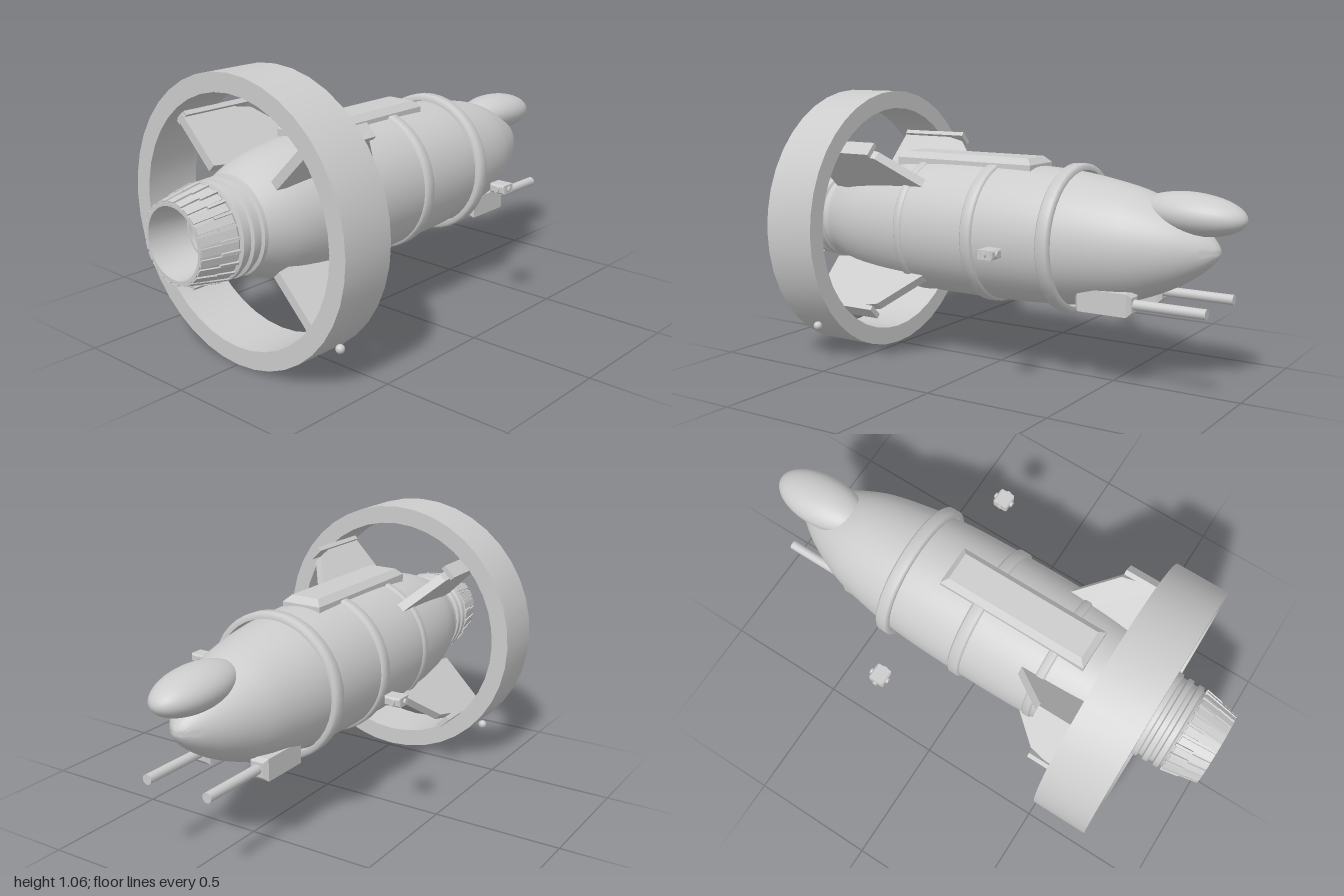
import * as THREE from 'three';
import { toCreasedNormals, mergeGeometries } from 'three/addons/utils/BufferGeometryUtils.js';

const AXIS = 0.535; // height of the ship's long axis

export function createModel() {
  const root = new THREE.Group();
  root.name = 'ringShip';
  const grey = new THREE.MeshStandardMaterial({ color: 0xcccccc });
  grey.name = 'hullGrey';

  function add(name, geometry, x = 0, y = AXIS, z = 0, parent = root) {
    const mesh = new THREE.Mesh(geometry, grey);
    mesh.name = name;
    mesh.position.set(x, y, z);
    parent.add(mesh);
    return mesh;
  }

  // Revolves [radius, z] points around the long axis
  function spin(points, segments = 32, crease = 0.5) {
    const g = new THREE.LatheGeometry(points.map(([r, z]) => new THREE.Vector2(r, z)), segments);
    g.rotateX(Math.PI / 2);
    return toCreasedNormals(g, crease);
  }

  // Plate from an outline, centred on its thickness
  function plate(points, depth, bevel = 0) {
    const shape = new THREE.Shape(points.map(([a, b]) => new THREE.Vector2(a, b)));
    const g = new THREE.ExtrudeGeometry(shape, {
      depth: depth - 2 * bevel, bevelEnabled: bevel > 0, bevelSize: bevel,
      bevelThickness: bevel, bevelOffset: -bevel, bevelSegments: 1,
    });
    return g.translate(0, 0, -depth / 2 + bevel);
  }
  const rect = (w, h) => [[-w / 2, -h / 2], [w / 2, -h / 2], [w / 2, h / 2], [-w / 2, h / 2]];

  // Hull, from nose to tail
  const hullCurve = new THREE.SplineCurve([
    [0, -0.91], [0.03, -0.895], [0.075, -0.85], [0.13, -0.77], [0.175, -0.68], [0.208, -0.59], [0.235, -0.46],
    [0.252, -0.34], [0.262, -0.2], [0.267, 0], [0.267, 0.2], [0.262, 0.32],
    [0.25, 0.47], [0.225, 0.62], [0.18, 0.74],
  ].map(([r, z]) => new THREE.Vector2(r, z)));
  const hull = hullCurve.getPoints(48).map((p) => [Math.max(p.x, 0), p.y]);
  add('hull', spin(hull, 40, 0.7));

  // Hoops around the hull
  for (const [z, inner, outer, half] of [[-0.34, 0.258, 0.282, 0.027], [-0.01, 0.255, 0.278, 0.026], [0.315, 0.255, 0.269, 0.02]]) {
    const c = 0.008;
    add('hullHoop', spin([
      [inner, z - half], [outer - c, z - half], [outer, z - half + c], [outer, z + half - c],
      [outer - c, z + half], [inner, z + half], [inner, z - half],
    ], 40, 0.9));
  }

  // Large tail ring
  add('tailRing', spin([[0.46, 0.52], [0.53, 0.52], [0.53, 0.74], [0.46, 0.74], [0.46, 0.52]], 40));

  // Four diagonal fins holding the ring
  const finOutline = [[0.22, 0.245], [0.38, 0.42], [0.52, 0.455], [0.54, 0.465], [0.69, 0.465], [0.69, 0.225], [0.5, 0.2], [0.3, 0.22]];
  for (let i = 0; i < 4; i++) {
    const fin = new THREE.Group();
    fin.name = 'fin';
    fin.position.y = AXIS;
    fin.rotation.z = Math.PI / 4 + i * Math.PI / 2;
    // outline is (z, radius): turn it so that radius runs along +x
    const blade = plate(finOutline.map(([z, r]) => [r, -z]), 0.036).rotateX(-Math.PI / 2);
    add('finBlade', blade, 0, 0, 0, fin);
    add('finFoot', new THREE.BoxGeometry(0.02, 0.06, 0.3), 0.449, 0, 0.535, fin);
    root.add(fin);
  }

  // Engine collar with ribs, open nozzle and inner cone
  add('engineCollar', spin([
    [0.1, 0.7], [0.18, 0.71], [0.18, 0.755], [0.168, 0.76], [0.168, 0.775], [0.178, 0.78], [0.178, 0.8],
    [0.166, 0.805], [0.166, 0.82], [0.176, 0.825], [0.176, 0.845], [0.164, 0.85], [0.1, 0.85],
  ], 40));
  add('nozzle', spin([
    [0.155, 0.84], [0.167, 0.86], [0.141, 1], [0.128, 1], [0.105, 0.82],
  ], 40));
  add('engineCone', spin([[0.112, 0.82], [0.1, 0.825], [0, 0.89]], 40));

  // Overlapping petals around the nozzle, with a short cleat between each pair
  const petals = [];
  const cleats = [];
  const count = 24;
  const slope = Math.atan2(0.026, 0.14);
  for (let i = 0; i < count; i++) {
    const angle = (i / count) * Math.PI * 2;
    petals.push(new THREE.BoxGeometry(0.028, 0.012, 0.138).rotateX(slope).translate(0, 0.153, 0.931).rotateZ(angle));
    cleats.push(new THREE.BoxGeometry(0.01, 0.018, 0.07).rotateX(slope).translate(0, 0.162, 0.892)
      .rotateZ(angle + Math.PI / count));
  }
  add('nozzlePetals', mergeGeometries(petals));
  add('nozzleCleats', mergeGeometries(cleats));

  // Cockpit bubble on the nose
  const canopy = new THREE.SphereGeometry(1, 32, 20).rotateX(Math.PI / 2).scale(0.106, 0.077, 0.2);
  add('canopy', canopy, 0, 0.665, -0.8).rotation.x = -0.06;

  // Bevelled spine along the back
  const spine = plate(rect(0.165, 0.62), 0.09, 0.024).rotateX(-Math.PI / 2);
  add('spine', spine, 0, 0.785, 0.13);

  for (const side of [-1, 1]) {
    // Belly gun
    const gun = new THREE.Group();
    gun.name = side > 0 ? 'leftGun' : 'rightGun';
    gun.position.set(side * 0.13, 0.342, 0);
    add('gunBody', plate(rect(0.08, 0.085), 0.225, 0.015), 0, 0, -0.53, gun);
    add('gunBarrel', new THREE.CylinderGeometry(0.019, 0.019, 0.3, 16).rotateX(Math.PI / 2), 0, 0, -0.765, gun);
    root.add(gun);

    // Small floating thruster pod
    const pod = new THREE.Group();
    pod.name = side > 0 ? 'leftPod' : 'rightPod';
    pod.position.set(side * 0.445, AXIS, -0.23);
    add('podBody', plate(rect(0.066, 0.034), 0.066, 0.006), -side * 0.002, 0, 0, pod);
    add('podCrossJet', new THREE.CylinderGeometry(0.012, 0.012, 0.082, 16).rotateX(Math.PI / 2), 0, 0, 0, pod);
    add('podSideJet', new THREE.CylinderGeometry(0.01, 0.01, 0.08, 16).rotateZ(Math.PI / 2), 0, 0, 0, pod);
    root.add(pod);

    // Lamp beside the ring
    add(side > 0 ? 'leftLamp' : 'rightLamp', new THREE.SphereGeometry(0.017, 16, 12), side * 0.39, 0.146, 0.62);
  }

  return root;
}
